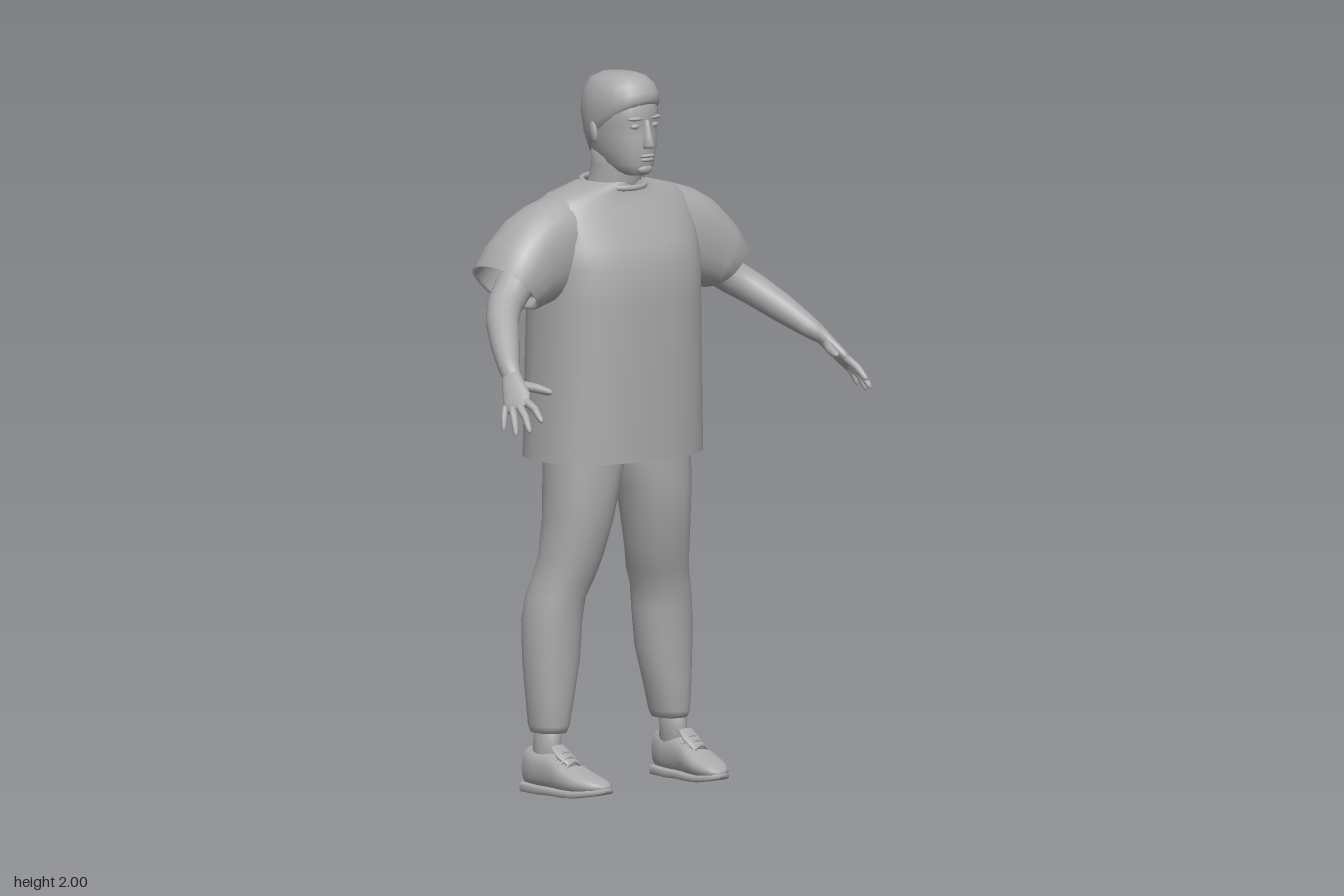
import * as THREE from 'three';

const grey = new THREE.MeshStandardMaterial({ color: 0xaaaaaa, side: THREE.DoubleSide });
grey.name = 'plain grey';
const V = (x, y, z) => new THREE.Vector3(x, y, z);

// Skin a list of sections {c, u, v}: superellipses with half axes u and v around c.
function loft(name, secs, { s = 1, e = 2, n = 24, caps = [true, true] } = {}) {
  const pos = [], idx = [], pw = (t) => Math.sign(t) * Math.abs(t) ** (2 / e);
  const put = (p) => pos.push(p.x * s, p.y, p.z);
  for (const { c, u, v } of secs)
    for (let j = 0; j < n; j++) {
      const a = (j / n) * Math.PI * 2;
      put(c.clone().addScaledVector(u, pw(Math.cos(a))).addScaledVector(v, pw(Math.sin(a))));
    }
  const m = secs.length, first = secs[0], last = secs[m - 1];
  const along = last.c.clone().sub(first.c);
  const flip = first.u.clone().cross(first.v).dot(along) * s < 0;
  const tri = (a, b, c) => (flip ? idx.push(a, c, b) : idx.push(a, b, c));
  for (let i = 0; i < m - 1; i++)
    for (let j = 0; j < n; j++) {
      const k = (j + 1) % n, a = i * n + j, b = i * n + k;
      tri(a, b, b + n);
      tri(a, b + n, a + n);
    }
  [first, last].forEach((sec, q) => {
    if (!caps[q]) return;
    const mid = pos.length / 3, o = q ? (m - 1) * n : 0;
    put(sec.c);
    for (let j = 0; j < n; j++) {
      const k = (j + 1) % n;
      q ? tri(o + j, o + k, mid) : tri(o + k, o + j, mid);
    }
  });
  const g = new THREE.BufferGeometry();
  g.setAttribute('position', new THREE.Float32BufferAttribute(pos, 3));
  g.setIndex(idx);
  g.computeVertexNormals();
  return named(new THREE.Mesh(g, grey), name);
}

function named(o, name) { o.name = name; return o; }

// Upright section: front point (yf, zf), back point (yb, zb), centre x and half width.
const ring = (yf, zf, yb, zb, rx, cx = 0) => ({
  c: V(cx, (yf + yb) / 2, (zf + zb) / 2),
  u: V(0, (yf - yb) / 2, (zf - zb) / 2),
  v: V(rx, 0, 0),
});
const level = ([y, rx, zf, zb, cx]) => ring(y, zf, y, zb, rx, cx);

// Sections along a path of [x, y, z, half width, half thickness]; side gives the width direction.
function limb(path, side = V(0, 0, 1)) {
  const p = path.map((q) => V(q[0], q[1], q[2]));
  return path.map((q, i) => {
    const dir = p[Math.min(i + 1, p.length - 1)].clone().sub(p[Math.max(i - 1, 0)]).normalize();
    const v = dir.clone().cross(side).normalize();
    const u = v.clone().cross(dir);
    return { c: p[i], u: u.multiplyScalar(q[3]), v: v.multiplyScalar(q[4] ?? q[3]) };
  });
}

function ball(name, x, y, z, rx, ry, rz) {
  const m = named(new THREE.Mesh(new THREE.SphereGeometry(1, 16, 10), grey), name);
  m.position.set(x, y, z);
  m.scale.set(rx, ry, rz);
  return m;
}

function makeHead() {
  const g = named(new THREE.Group(), 'head');
  g.add(loft('neck', [
    [1.64, 0.08, -0.02, -0.19], [1.70, 0.07, -0.012, -0.165],
    [1.74, 0.068, -0.005, -0.155], [1.80, 0.065, 0, -0.16],
  ].map(level)));
  g.add(loft('face', [
    [1.718, 0.028, 0.03, -0.03], [1.728, 0.044, 0.042, -0.07], [1.75, 0.061, 0.05, -0.13],
    [1.79, 0.074, 0.053, -0.162], [1.83, 0.081, 0.05, -0.175], [1.862, 0.084, 0.046, -0.183],
    [1.885, 0.086, 0.053, -0.184], [1.93, 0.086, 0.044, -0.178], [1.96, 0.07, 0.015, -0.16],
  ].map(level), { e: 2.2 }));
  g.add(loft('hair', [
    ring(1.918, 0.046, 1.76, -0.158, 0.078), ring(1.93, 0.054, 1.81, -0.174, 0.091),
    ring(1.95, 0.05, 1.88, -0.187, 0.094), ring(1.972, 0.035, 1.94, -0.182, 0.086),
    ring(1.99, 0.01, 1.978, -0.16, 0.065), ring(1.998, -0.02, 1.994, -0.125, 0.035),
  ], { e: 2.2 }));
  g.add(loft('nose', [
    ring(1.875, 0.055, 1.875, 0.03, 0.008), ring(1.83, 0.066, 1.83, 0.03, 0.012),
    ring(1.806, 0.076, 1.806, 0.03, 0.018), ring(1.796, 0.066, 1.796, 0.03, 0.015),
  ], { n: 12 }));
  g.add(ball('upperLip', 0, 1.775, 0.05, 0.026, 0.006, 0.01));
  g.add(ball('lowerLip', 0, 1.764, 0.049, 0.023, 0.006, 0.009));
  g.add(ball('chin', 0, 1.737, 0.036, 0.026, 0.016, 0.016));
  for (const s of [1, -1]) {
    g.add(ball('eye', s * 0.034, 1.858, 0.037, 0.015, 0.008, 0.009));
    const brow = ball('brow', s * 0.036, 1.88, 0.041, 0.024, 0.006, 0.01);
    brow.rotation.y = s * 0.3;
    const ear = ball('ear', s * 0.087, 1.835, -0.078, 0.009, 0.031, 0.019);
    ear.rotation.set(-0.2, s * 0.3, 0);
    g.add(brow, ear);
  }
  return g;
}

function makeShirt() {
  const g = named(new THREE.Group(), 'shirt');
  g.add(loft('shirtBody', [
    [0.93, 0.265, 0.095, -0.29], [1.15, 0.26, 0.095, -0.287], [1.37, 0.256, 0.094, -0.282],
    [1.47, 0.258, 0.088, -0.278], [1.53, 0.262, 0.062, -0.271], [1.59, 0.264, 0.03, -0.247],
    [1.635, 0.25, 0.004, -0.222], [1.665, 0.205, -0.013, -0.205], [1.685, 0.125, -0.014, -0.192],
    [1.697, 0.085, -0.016, -0.178],
  ].map(level), { e: 2.4, n: 40, caps: [false, false] }));
  const collar = named(new THREE.Mesh(new THREE.TorusGeometry(1, 0.09, 8, 32), grey), 'collar');
  collar.scale.set(0.088, 0.09, 0.09);
  collar.rotation.x = Math.PI / 2 + 0.1;
  collar.position.set(0, 1.688, -0.095);
  g.add(collar);
  // Sleeve sections: top x, top y, bottom x, bottom y, half depth
  const sleeve = [
    [0.12, 1.675, 0.14, 1.42, 0.09], [0.21, 1.664, 0.20, 1.39, 0.108], [0.275, 1.645, 0.245, 1.372, 0.11],
    [0.335, 1.613, 0.275, 1.366, 0.112], [0.40, 1.552, 0.297, 1.362, 0.114], [0.447, 1.492, 0.315, 1.36, 0.112],
    [0.435, 1.487, 0.32, 1.372, 0.10], [0.38, 1.53, 0.295, 1.39, 0.095],
  ].map(([tx, ty, bx, by, d]) => ({
    c: V((tx + bx) / 2, (ty + by) / 2, -0.108),
    u: V((tx - bx) / 2, (ty - by) / 2, 0),
    v: V(0, 0, d),
  }));
  for (const s of [1, -1]) g.add(loft('sleeve', sleeve, { s, e: 2.3, caps: [false, false] }));
  return g;
}

function makeArm(s) {
  const g = named(new THREE.Group(), s > 0 ? 'leftArm' : 'rightArm');
  g.add(loft('arm', limb([
    [0.28, 1.49, -0.11, 0.06], [0.36, 1.425, -0.1, 0.054], [0.415, 1.38, -0.075, 0.049],
    [0.455, 1.348, -0.035, 0.046], [0.505, 1.295, 0.035, 0.04], [0.545, 1.248, 0.097, 0.03],
    [0.566, 1.222, 0.135, 0.026, 0.021],
  ]), { s, n: 18 }));
  const across = V(0.04, -0.03, -0.065);
  g.add(loft('palm', limb([
    [0.56, 1.23, 0.125, 0.026, 0.02], [0.576, 1.2, 0.155, 0.034, 0.018],
    [0.59, 1.17, 0.185, 0.042, 0.016], [0.602, 1.148, 0.207, 0.036, 0.011],
  ], across), { s, n: 16, e: 2.3 }));
  // Each digit: name, root, knuckle, tip, thickness
  const digits = [
    ['thumb', [0.562, 1.205, 0.155], [0.533, 1.197, 0.205], [0.519, 1.188, 0.25], 0.013],
    ['indexFinger', [0.583, 1.17, 0.21], [0.585, 1.15, 0.255], [0.59, 1.118, 0.292], 0.011],
    ['middleFinger', [0.598, 1.155, 0.205], [0.61, 1.128, 0.245], [0.619, 1.09, 0.274], 0.011],
    ['ringFinger', [0.61, 1.147, 0.19], [0.627, 1.118, 0.218], [0.637, 1.078, 0.236], 0.01],
    ['littleFinger', [0.614, 1.148, 0.166], [0.632, 1.122, 0.18], [0.643, 1.088, 0.19], 0.009],
  ];
  for (const [name, a, b, c, r] of digits) {
    const near = c.map((q, i) => q + (b[i] - q) * 0.2);
    g.add(loft(name, limb([[...a, r * 1.1], [...b, r], [...near, r * 0.75], [...c, r * 0.3]], across), { s, n: 10 }));
  }
  return g;
}

function makeLeg(s) {
  const g = named(new THREE.Group(), s > 0 ? 'leftLeg' : 'rightLeg');
  // Trouser sections: y, inner x, outer x, front z, back z
  g.add(loft('trouserLeg', [
    [1.02, -0.005, 0.235, 0.02, -0.19], [0.93, 0.002, 0.236, 0.022, -0.186], [0.84, 0.027, 0.236, 0.023, -0.183],
    [0.76, 0.045, 0.236, 0.016, -0.181], [0.66, 0.069, 0.243, -0.003, -0.184], [0.59, 0.088, 0.256, -0.024, -0.196],
    [0.545, 0.11, 0.27, -0.034, -0.204], [0.48, 0.117, 0.282, -0.041, -0.206], [0.37, 0.124, 0.284, -0.046, -0.197],
    [0.27, 0.147, 0.278, -0.049, -0.184], [0.19, 0.166, 0.271, -0.052, -0.176], [0.17, 0.174, 0.264, -0.06, -0.168],
  ].map(([y, a, b, f, k]) => level([y, (b - a) / 2, f, k, (a + b) / 2])), { s, e: 2.15, n: 28 }));
  g.add(loft('ankle', [
    [0.2, 0.035, -0.065, -0.157, 0.225], [0.14, 0.033, -0.064, -0.153, 0.229], [0.07, 0.036, -0.06, -0.16, 0.232],
  ].map(level), { s, n: 16 }));
  return g;
}

function makeShoe(s) {
  const g = named(new THREE.Group(), s > 0 ? 'leftShoe' : 'rightShoe');
  // Section across the foot: z, centre x, half width, bottom y, top y
  const slice = ([z, cx, rx, y0, y1]) => ({
    c: V(cx, (y0 + y1) / 2, z), u: V(rx, 0, 0), v: V(0, (y1 - y0) / 2, 0),
  });
  g.add(loft('shoeUpper', [
    [-0.178, 0.236, 0.022, 0.025, 0.1], [-0.166, 0.236, 0.037, 0.018, 0.126], [-0.12, 0.235, 0.044, 0.014, 0.122],
    [-0.07, 0.234, 0.045, 0.014, 0.118], [-0.035, 0.232, 0.049, 0.014, 0.11], [0, 0.229, 0.054, 0.014, 0.092],
    [0.045, 0.224, 0.055, 0.016, 0.073], [0.085, 0.217, 0.045, 0.02, 0.062], [0.11, 0.212, 0.03, 0.024, 0.052],
    [0.121, 0.21, 0.015, 0.028, 0.044],
  ].map(slice), { s, e: 2.5, n: 20 }));
  g.add(loft('sole', [
    [-0.182, 0.236, 0.026, 0.004, 0.028], [-0.168, 0.236, 0.043, 0, 0.028], [-0.1, 0.234, 0.049, 0, 0.026],
    [-0.05, 0.232, 0.052, 0.003, 0.026], [0.01, 0.228, 0.06, 0.004, 0.026], [0.05, 0.223, 0.058, 0.006, 0.027],
    [0.09, 0.216, 0.046, 0.013, 0.032], [0.115, 0.211, 0.03, 0.019, 0.035], [0.126, 0.209, 0.015, 0.024, 0.036],
  ].map(slice), { s, e: 5, n: 20 }));
  // Tongue and laces
  g.add(loft('tongue', limb([
    [0.231, 0.135, -0.062, 0.026, 0.007], [0.231, 0.113, -0.035, 0.03, 0.009], [0.228, 0.09, 0.005, 0.024, 0.008],
  ], V(1, 0, 0)), { s, n: 12 }));
  for (let i = 0; i < 3; i++) {
    const y = 0.119 - i * 0.011, z = -0.037 + i * 0.02;
    const curve = new THREE.CatmullRomCurve3([
      V(s * 0.196, y - 0.018, z), V(s * 0.231, y + 0.004, z + 0.004), V(s * 0.264, y - 0.018, z),
    ]);
    g.add(named(new THREE.Mesh(new THREE.TubeGeometry(curve, 8, 0.005, 6), grey), 'lace'));
  }
  return g;
}

export function createModel() {
  const model = named(new THREE.Group(), 'standingPerson');
  model.add(makeHead(), makeShirt());
  for (const s of [1, -1]) model.add(makeArm(s), makeLeg(s), makeShoe(s));
  return model;
}
